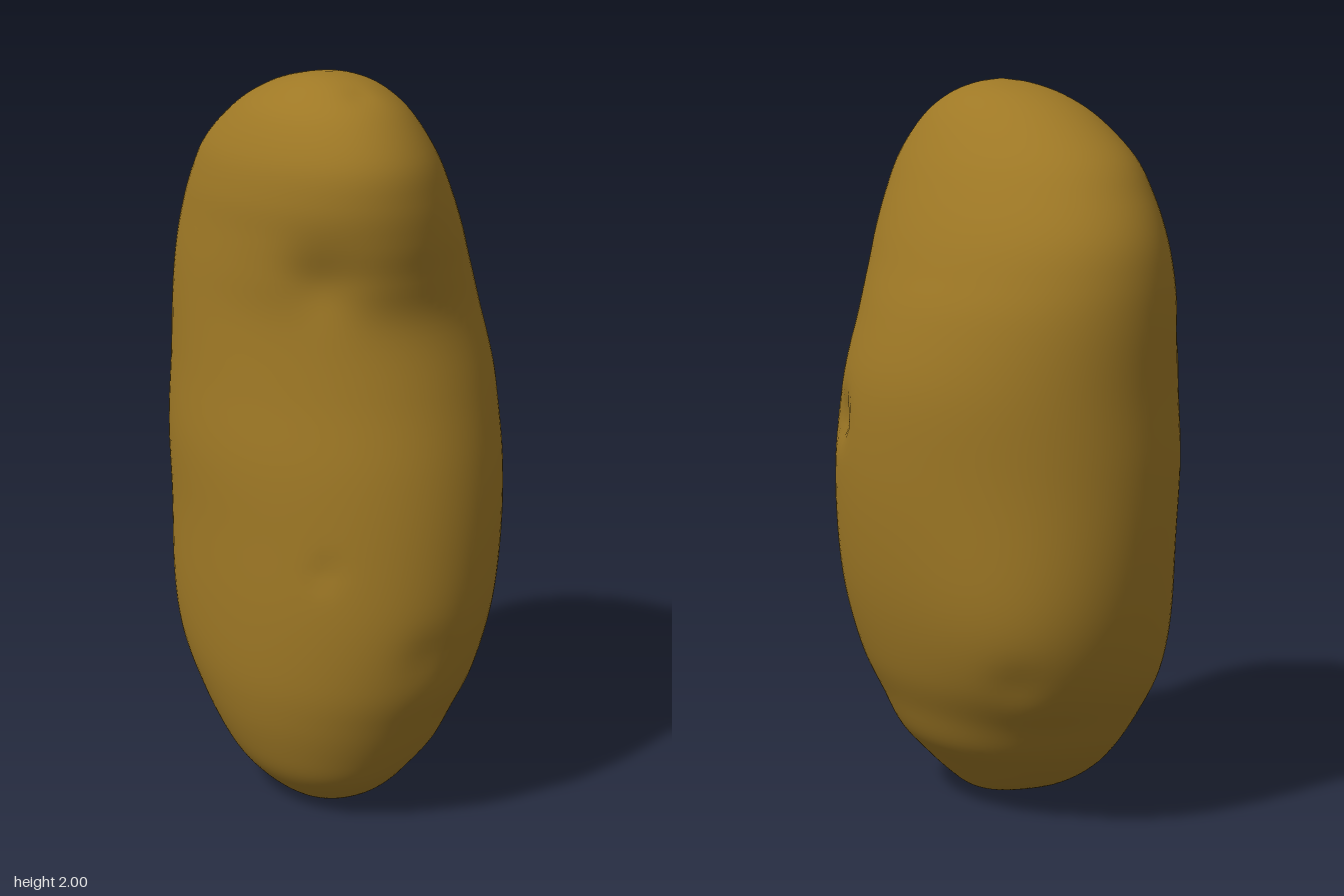
import * as THREE from 'three';

// Cross-sections from bottom to top: y, x min, x max, z front, z back, skew
const ROWS = [
  [0, -0.10, -0.10, 0.12, 0.12, 0],
  [0.006, -0.155, -0.04, 0.175, 0.06, 0],
  [0.022, -0.205, 0.01, 0.225, -0.01, 0],
  [0.06, -0.258, 0.062, 0.29, -0.12, 0],
  [0.12, -0.308, 0.125, 0.355, -0.215, 0],
  [0.2, -0.345, 0.2, 0.41, -0.295, 0],
  [0.3, -0.375, 0.25, 0.46, -0.36, 0],
  [0.42, -0.395, 0.305, 0.51, -0.425, 0],
  [0.6, -0.405, 0.355, 0.547, -0.48, 0],
  [0.8, -0.408, 0.388, 0.55, -0.52, 0],
  [1.0, -0.41, 0.405, 0.53, -0.54, 0],
  [1.2, -0.395, 0.405, 0.487, -0.543, 0.02],
  [1.38, -0.384, 0.372, 0.447, -0.548, 0.06],
  [1.5, -0.38, 0.335, 0.455, -0.54, 0.1],
  [1.6, -0.375, 0.30, 0.47, -0.515, 0.13],
  [1.7, -0.37, 0.255, 0.472, -0.46, 0.15],
  [1.8, -0.35, 0.20, 0.45, -0.38, 0.16],
  [1.9, -0.30, 0.125, 0.375, -0.235, 0.16],
  [1.96, -0.235, 0.05, 0.285, -0.1, 0.16],
  [1.99, -0.175, -0.03, 0.2, 0.03, 0.16],
  [2, -0.11, -0.11, 0.13, 0.13, 0.16],
];

// Eyes, dents and (negative depth) broad bulges: x, y, z, radius, depth
const DENTS = [
  [0.33, 1.09, 0.29, 0.06, 0.025],
  [-0.27, 1.51, 0.33, 0.09, 0.03],
  [-0.13, 1.94, 0.28, 0.04, 0.006],
  [0.24, 0.44, -0.31, 0.07, 0.012],
  [-0.08, 0.52, 0.52, 0.07, 0.008],
  [0.04, 0.13, 0.33, 0.05, 0.008],
  [-0.29, 0.75, 0.37, 0.04, 0.01],
  [-0.2, 1.35, -0.42, 0.05, 0.008],
  [0.25, 0.55, -0.36, 0.27, -0.05],
  [-0.31, 0.5, -0.31, 0.24, -0.025],
  [0.25, 1.45, 0.3, 0.22, -0.012],
];

const SIDES = 96;
const RINGS = 120;

function dent(p) {
  const inward = new THREE.Vector3(-0.03 - p.x, (1 - p.y) * 0.3, -p.z).normalize();
  let depth = 0;
  for (const [x, y, z, r, d] of DENTS) {
    const q = (p.x - x) ** 2 + (p.y - y) ** 2 + (p.z - z) ** 2;
    depth += d * Math.exp(-q / (r * r));
  }
  return p.addScaledVector(inward, depth);
}

function skinGeometry() {
  const spline = (a, b, c) => new THREE.CatmullRomCurve3(
    ROWS.map((r) => new THREE.Vector3(r[a], r[b], r[c])), false, 'catmullrom', 0.5);
  const width = spline(0, 1, 2);
  const depth = spline(3, 4, 5);
  const pos = [];
  const index = [];
  const id = (i, j) => (i === 0 ? 0 : i === RINGS ? 1 + (RINGS - 1) * SIDES
    : 1 + (i - 1) * SIDES + (j % SIDES));

  // Sheared ellipses, closed by one point at each end
  for (let i = 0; i <= RINGS; i++) {
    const w = width.getPoint(i / RINGS);
    const d = depth.getPoint(i / RINGS);
    const pole = i === 0 || i === RINGS;
    for (let j = 0; j < (pole ? 1 : SIDES); j++) {
      const t = (j / SIDES) * Math.PI * 2;
      const p = new THREE.Vector3(
        (w.y + w.z) / 2 + ((w.z - w.y) / 2) * Math.cos(t + d.z),
        w.x,
        (d.x + d.y) / 2 + ((d.x - d.y) / 2) * Math.sin(t));
      pos.push(...dent(p).toArray());
    }
  }
  for (let i = 0; i < RINGS; i++) {
    for (let j = 0; j < SIDES; j++) {
      const a = id(i, j), b = id(i, j + 1), c = id(i + 1, j), d = id(i + 1, j + 1);
      if (i > 0) index.push(a, c, b);
      if (i < RINGS - 1) index.push(b, c, d);
    }
  }
  const geo = new THREE.BufferGeometry();
  geo.setAttribute('position', new THREE.Float32BufferAttribute(pos, 3));
  geo.setIndex(index);
  geo.computeVertexNormals();
  return geo;
}

export function createModel() {
  const group = new THREE.Group();
  group.name = 'potato';
  const skin = new THREE.MeshStandardMaterial({ color: 0x9e7825 });
  skin.name = 'potato skin brown';
  const body = new THREE.Mesh(skinGeometry(), skin);
  body.name = 'potatoBody';
  group.add(body);
  return group;
}
